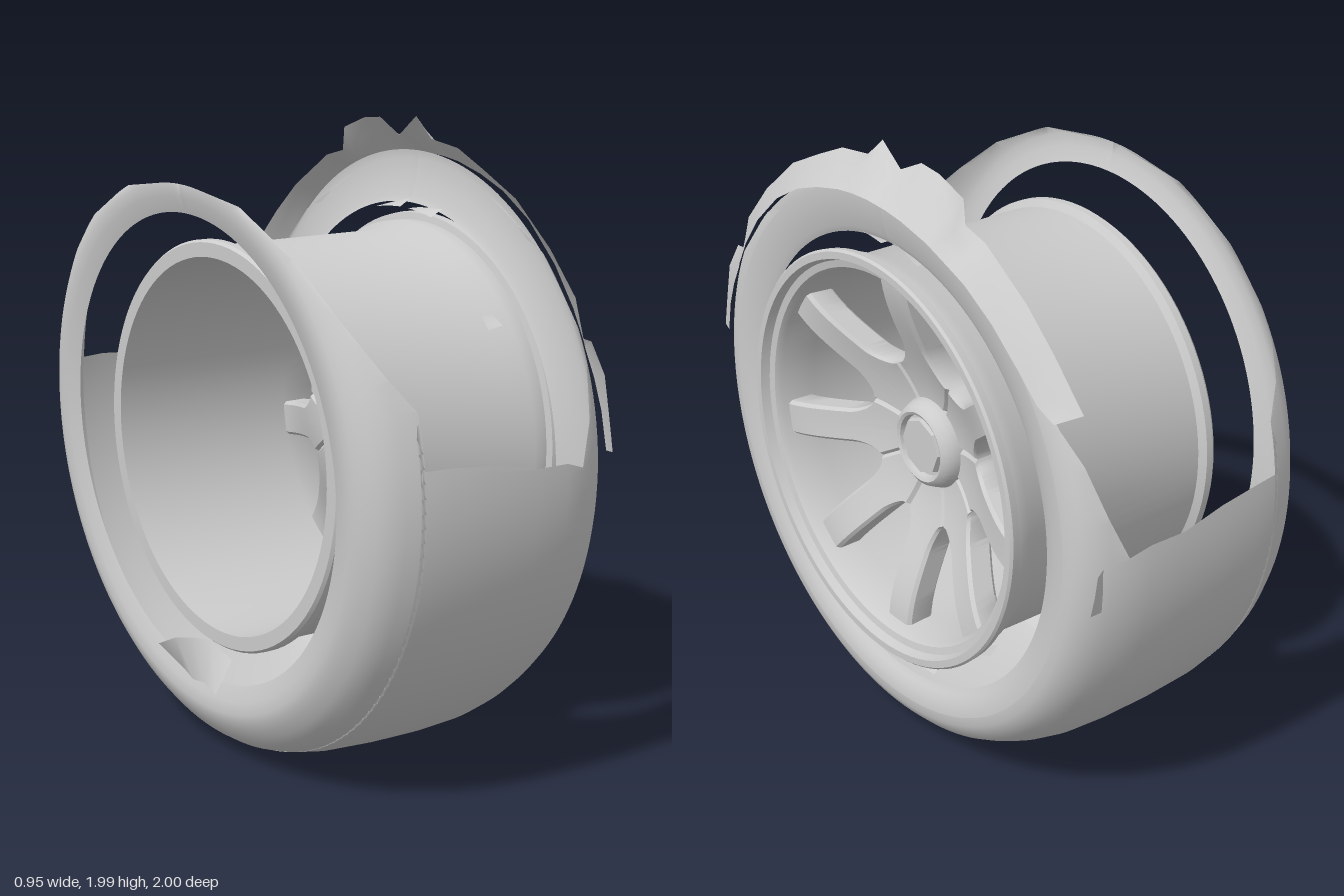
import * as THREE from 'three';
import { toCreasedNormals } from 'three/addons/utils/BufferGeometryUtils.js';

const material = new THREE.MeshStandardMaterial({ color: 0xcccccc, side: THREE.DoubleSide });
const { clamp, lerp, smoothstep, degToRad: rad } = THREE.MathUtils;
const AXLE = 1; // height of the wheel centre

// Point on the wheel: x along the axle, angle in degrees from +z towards +y
const polar = (x, r, deg) => [x, AXLE + r * Math.sin(rad(deg)), r * Math.cos(rad(deg))];

function addMesh(group, name, geometry) {
  const mesh = new THREE.Mesh(geometry, material);
  mesh.name = name;
  group.add(mesh);
  return mesh;
}

// Smooth sheet from a grid of points given by pointAt(row, column)
function sheet(rows, cols, pointAt) {
  const positions = [], index = [];
  for (let i = 0; i < rows; i++) {
    for (let j = 0; j < cols; j++) {
      positions.push(...pointAt(i, j));
      if (i && j) {
        const d = i * cols + j, b = d - cols;
        index.push(b - 1, d - 1, b, b, d - 1, d);
      }
    }
  }
  const geometry = new THREE.BufferGeometry();
  geometry.setAttribute('position', new THREE.Float32BufferAttribute(positions, 3));
  geometry.setIndex(index);
  geometry.computeVertexNormals();
  return geometry;
}

// Rows are [x, radius, tear angle]; a tear angle of 90 closes the full circle
function tornShell(rows) {
  const steps = 144;
  return sheet(rows.length, steps + 1, (i, j) => {
    const [x, r, tear] = rows[i];
    const ragged = tear < 90 ? 0.5 * Math.sin(i * 2.3) : 0;
    const deg = clamp(90 - (j / steps) * 360, -180 - tear - ragged, tear + ragged);
    const up = Math.sin(rad(deg));
    // The inner sidewall leans outwards, the outer bead sags on to the rim
    const lean = 0.03 * up * clamp((-x - 0.2) / 0.2, 0, 1);
    const sag = x > 0 ? 0.028 * up * clamp((0.82 - r) / 0.06, 0, 1) : 0;
    return polar(x - lean, r - sag, deg);
  });
}

// Ring section turned around the axle; profile points are [radius, x]
function turned(profile) {
  const points = profile.map(([r, x]) => new THREE.Vector2(r, x));
  const geometry = new THREE.LatheGeometry(points, 96).rotateZ(-Math.PI / 2).translate(0, AXLE, 0);
  return toCreasedNormals(geometry, rad(35));
}

// Half of a spoke with its share of the dished centre, up to the middle of the next window
function halfSpoke(spoke, neighbour) {
  const side = Math.sign(neighbour - spoke), gap = Math.abs(neighbour - spoke) / 2;
  const inner = 0.27, steps = 26;
  const geometry = sheet(steps + 1, 12, (i, j) => {
    // Rows crowd together where the window is rounded
    const r = i < 6 ? lerp(0.1, inner, i / 6) : lerp(inner, 0.605, ((i - 6) / (steps - 6)) ** 1.8);
    const t = clamp((inner + 0.09 - r) / 0.09, 0, 1);
    const open = r > inner ? (gap - THREE.MathUtils.radToDeg(0.058 / r)) * Math.sqrt(1 - t * t) : 0;
    // Closed section: front face, bevel, side wall, bevel, back face
    const front = j < 6, k = front ? j : 11 - j;
    const bevel = THREE.MathUtils.radToDeg(0.01 / r);
    const edge = gap - open;
    const deg = k < 5 ? Math.max(edge - bevel, 0) * (k / 4) : edge;
    const depth = front ? (k === 5 ? 0.012 : 0) : (k === 5 ? 0.085 : 0.097);
    const x = 0.25 + 0.15 * smoothstep(r, 0.1, 0.62) - depth;
    return polar(x, r, 90 + spoke + side * deg);
  });
  return toCreasedNormals(geometry, rad(40));
}

// Peeled strip; rows are [angle, inner radius, outer radius]
function peeledStrip(rows) {
  return sheet(rows.length, 4, (i, j) => {
    const [deg, inner, outer] = rows[i], t = j / 3;
    const lift = Math.sin(rad(deg));
    return polar(0.39 + lift * lerp(0.083, -0.04, t), lerp(inner, outer, t), deg);
  });
}

export function createModel() {
  const model = new THREE.Group();
  model.name = 'burstTyreWheel';

  // Rim
  const rim = new THREE.Group();
  rim.name = 'rim';
  model.add(rim);
  addMesh(rim, 'barrel', turned([
    [0.595, -0.35], [0.64, -0.35], [0.648, -0.34], [0.648, -0.315], [0.625, -0.3],
    [0.625, 0.34], [0.65, 0.39], [0.65, 0.435], [0.672, 0.44], [0.675, 0.465],
    [0.668, 0.473], [0.645, 0.473], [0.635, 0.445], [0.612, 0.44], [0.6, 0.42],
    [0.592, 0.3], [0.595, -0.35],
  ]));
  const spokes = [0, 55, 100, 140, 180, 220, 260, 305, 360];
  for (let i = 0; i < 8; i++) {
    addMesh(rim, 'spoke', halfSpoke(spokes[i], spokes[i + 1]));
    addMesh(rim, 'spoke', halfSpoke(spokes[i + 1], spokes[i]));
  }
  addMesh(rim, 'hub', turned([
    [0, 0.14], [0.13, 0.14], [0.15, 0.25], [0.14, 0.275], [0.13, 0.295], [0.115, 0.305], [0.105, 0.3],
    [0.1, 0.28], [0, 0.28],
  ]));
  const cap = new THREE.CylinderGeometry(0.09, 0.1, 0.03, 8).rotateZ(-Math.PI / 2);
  addMesh(rim, 'hubCap', toCreasedNormals(cap, rad(30))).position.set(0.285, AXLE, 0);

  // Tyre: inner sidewall and tread torn open above the axle
  const tyre = new THREE.Group();
  tyre.name = 'tyre';
  model.add(tyre);
  addMesh(tyre, 'treadAndInnerSidewall', tornShell([
    [-0.42, 0.74, 90], [-0.438, 0.79, 90], [-0.442, 0.83, 90], [-0.436, 0.855, 68], [-0.425, 0.88, 50],
    [-0.405, 0.91, 37], [-0.38, 0.935, 29], [-0.34, 0.957, 23], [-0.28, 0.974, 17], [-0.295, 0.971, 12],
    [-0.29, 0.972, 7.5], [-0.2, 0.987, 7], [-0.05, 0.996, 6], [0.1, 0.998, 5], [0.22, 0.992, 4],
    [0.29, 0.978, 3], [0.34, 0.96, 11], [0.38, 0.94, 20], [0.41, 0.91, 28], [0.425, 0.88, 45], [0.428, 0.85, 65],
  ]));
  addMesh(tyre, 'outerSidewall', tornShell([
    [0.395, 0.74, 90], [0.405, 0.76, 90], [0.42, 0.8, 90], [0.428, 0.85, 90], [0.425, 0.877, 90],
  ]));

  // Strip peeled off the outer shoulder
  addMesh(tyre, 'peeledStrip', peeledStrip([
    [5, 0.96, 1.0], [12, 0.94, 1.0], [18, 0.92, 1.01], [24, 0.9, 0.99], [25, 0.9, 0.96], [32, 0.89, 0.985],
    [42, 0.88, 0.975], [54, 0.875, 0.97], [64, 0.87, 0.955], [72, 0.865, 0.96], [80, 0.865, 0.945],
    [85, 0.865, 1.0], [90, 0.865, 0.93], [96, 0.865, 0.985], [101, 0.865, 0.99], [108, 0.865, 0.98],
    [110, 0.865, 0.91], [116, 0.865, 0.925], [121, 0.87, 0.92], [130, 0.87, 0.93], [140, 0.87, 0.945],
    [147, 0.88, 0.965], [151, 0.92, 0.985],
  ]));

  // Crumpled flap at the bottom of the inner sidewall
  const flap = [[-0.16, 0.29, 0.34], [-0.08, 0.27, 0.38], [0, 0.26, 0.4], [0.09, 0.28, 0.41], [0.18, 0.27, 0.37]];
  addMesh(tyre, 'looseFlap', sheet(flap.length, 2, (i, j) => {
    const [z, low, high] = flap[i];
    return [lerp(-0.475, -0.415, j ? i / 4 : 1 - i / 4), j ? high : low, z];
  }));

  // Torn slivers hanging around the bead: [x, radius, angle, length]
  const slivers = [
    [0.29, 0.66, 38, 0.05], [0.3, 0.65, 142, 0.05], [0.36, 0.7, 96, 0.14], [0.36, 0.7, 82, 0.12],
    [0.32, 0.66, 235, 0.1], [0.36, 0.71, 262, 0.18], [0.36, 0.72, 275, 0.16], [0.32, 0.66, 305, 0.1],
    [0.39, 0.98, 181, 0.14],
  ];
  slivers.forEach(([x, r, deg, length]) => {
    const sweep = THREE.MathUtils.radToDeg(length / r);
    addMesh(tyre, 'tornSliver', sheet(3, 2, (i, j) =>
      polar(x + 0.04 * j, r + 0.012 * j * (2 - i), deg + sweep * (i / 2 - 0.5))));
  });
  return model;
}
